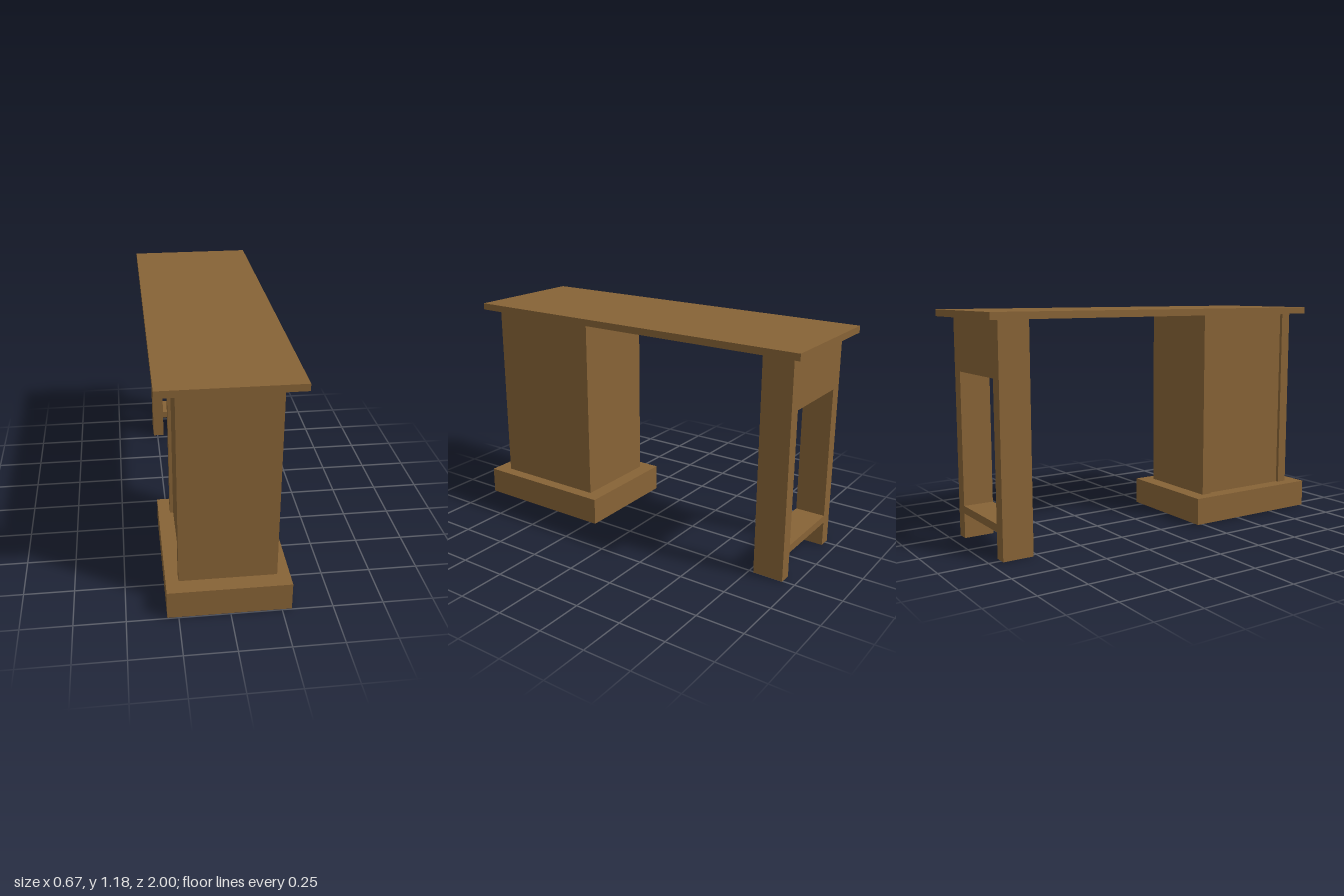
import * as THREE from 'three';

const wood = new THREE.MeshStandardMaterial({ color: 0x876336 });
wood.name = 'brownWood';

const pointsOf = (pairs) => pairs.map(([x, y]) => new THREE.Vector2(x, y));

function addMesh(group, name, geometry) {
  const mesh = new THREE.Mesh(geometry, wood);
  mesh.name = name;
  group.add(mesh);
  return mesh;
}

// Box given by its limits on each axis
function addBox(group, name, [x0, x1], [y0, y1], [z0, z1]) {
  const mesh = addMesh(group, name, new THREE.BoxGeometry(x1 - x0, y1 - y0, z1 - z0));
  mesh.position.set((x0 + x1) / 2, (y0 + y1) / 2, (z0 + z1) / 2);
}

export function createModel() {
  const model = new THREE.Group();
  model.name = 'desk';

  addBox(model, 'tableTop', [-0.335, 0.335], [1.145, 1.18], [-1, 0.945]);
  addBox(model, 'pedestalBase', [-0.305, 0.297], [0.004, 0.15], [0.21, 1]);

  // Pedestal: plan outline (x, -z) with a shallow recess in the -x side
  const plan = new THREE.Shape(pointsOf([
    [-0.243, -0.915], [0.235, -0.915], [0.235, -0.29], [-0.243, -0.29],
    [-0.243, -0.345], [-0.226, -0.345], [-0.226, -0.86], [-0.243, -0.86],
  ]));
  const pedestal = addMesh(model, 'pedestal',
    new THREE.ExtrudeGeometry(plan, { depth: 0.995, bevelEnabled: false }));
  pedestal.rotation.x = -Math.PI / 2;
  pedestal.position.y = 0.15;

  // Leg frame: two legs, apron and stretcher in one slab with an opening
  const [outerL, innerL, innerR, outerR] = [-0.275, -0.21, 0.192, 0.257];
  const frame = new THREE.Shape(pointsOf([
    [outerL, 0], [innerL, 0], [innerL, 0.132], [innerR, 0.132],
    [innerR, 0], [outerR, 0], [outerR, 1.145], [outerL, 1.145],
  ]));
  frame.holes.push(new THREE.Path(pointsOf([
    [innerL, 0.172], [innerL, 0.87], [innerR, 0.87], [innerR, 0.172],
  ])));
  const legs = addMesh(model, 'legFrame',
    new THREE.ExtrudeGeometry(frame, { depth: 0.16, bevelEnabled: false }));
  legs.position.z = -0.936;

  return model;
}
